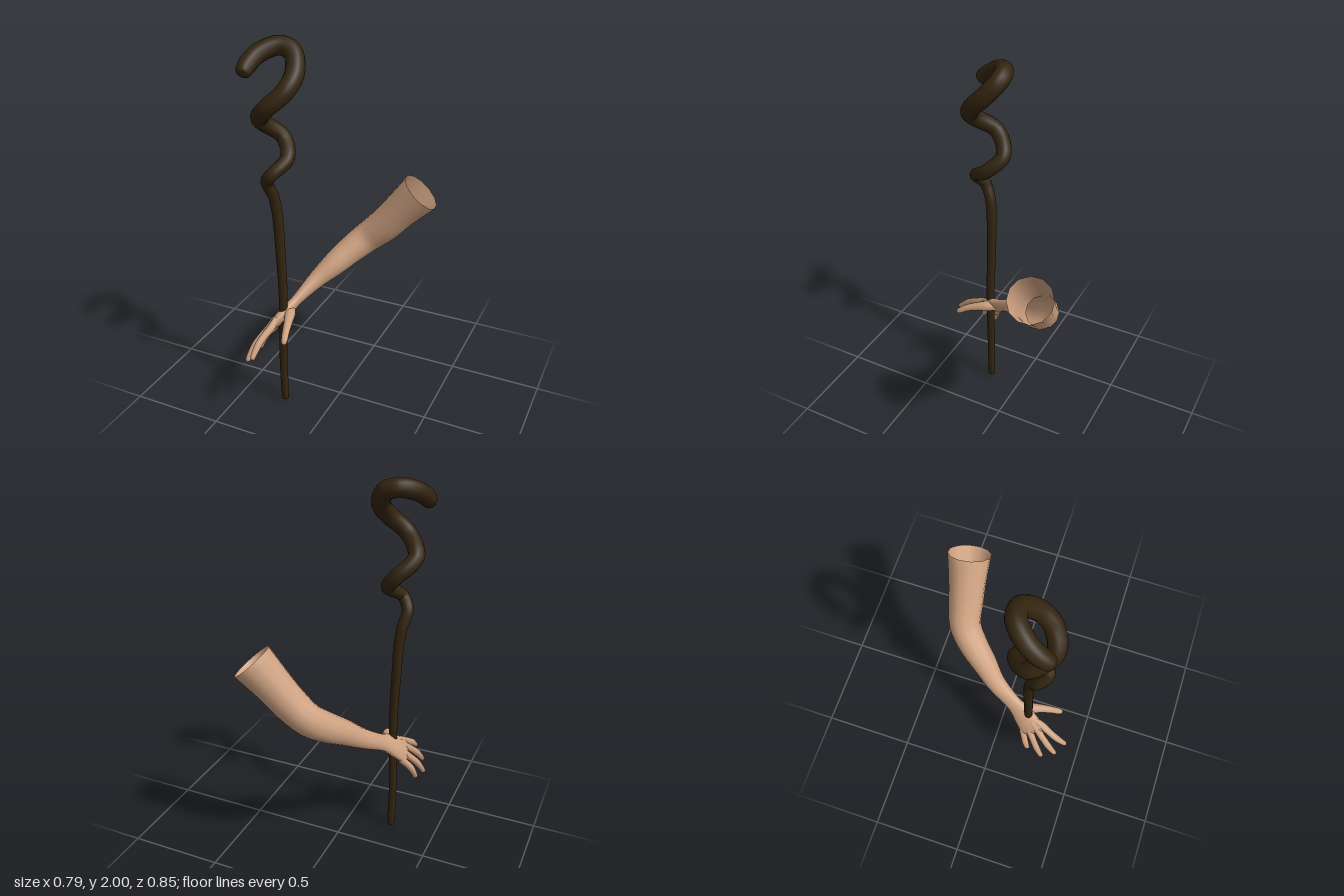
import * as THREE from 'three';

const wood = new THREE.MeshStandardMaterial({ color: 0x33240f, name: 'darkWood' });
const skin = new THREE.MeshStandardMaterial({ color: 0xcda180, name: 'skin', side: THREE.DoubleSide });

// Smooth loft through stations [x, y, z, width radius, thickness radius];
// ref is the direction of the width axis at the first station.
function loft(name, material, stations, ref, sides, steps) {
  const path = new THREE.CatmullRomCurve3(stations.map(s => new THREE.Vector3(s[0], s[1], s[2])));
  const radii = new THREE.CatmullRomCurve3(stations.map((s, i) => new THREE.Vector3(s[3], s[4] ?? s[3], i * 0.1)));
  const rings = (stations.length - 1) * steps;
  const pos = [], index = [];
  const u = new THREE.Vector3(...ref), v = new THREE.Vector3(), p = new THREE.Vector3();
  for (let i = 0; i <= rings; i++) {
    const t = i / rings;
    const c = path.getPoint(t), tan = path.getTangent(t), r = radii.getPoint(t);
    u.addScaledVector(tan, -u.dot(tan)).normalize();
    v.crossVectors(tan, u);
    for (let j = 0; j < sides; j++) {
      const a = (j / sides) * Math.PI * 2;
      p.copy(c)
        .addScaledVector(u, Math.cos(a) * Math.max(r.x, 0))
        .addScaledVector(v, Math.sin(a) * Math.max(r.y, 0));
      pos.push(p.x, p.y, p.z);
      if (i < rings) {
        const k = (j + 1) % sides, n = i * sides;
        index.push(n + j, n + k, n + sides + j, n + k, n + sides + k, n + sides + j);
      }
    }
  }
  const g = new THREE.BufferGeometry();
  g.setAttribute('position', new THREE.Float32BufferAttribute(pos, 3));
  g.setIndex(index);
  g.computeVertexNormals();
  const mesh = new THREE.Mesh(g, material);
  mesh.name = name;
  return mesh;
}

export function createModel() {
  const model = new THREE.Group();
  model.name = 'armWithStaff';

  // Staff: straight shaft that winds into a thickening coil with a hooked end
  const shaft = [
    [-0.25, 0, 0.18, 0], [-0.25, 0.012, 0.18, 0.016], [-0.25, 0.04, 0.18, 0.02],
    [-0.252, 0.25, 0.182, 0.021], [-0.245, 0.5, 0.182, 0.022], [-0.242, 0.7, 0.178, 0.023],
    [-0.25, 0.95, 0.175, 0.025], [-0.258, 1.15, 0.178, 0.027],
  ];
  const coil = [
    [-0.268, 1.24, 0.19, 0.028], [-0.28, 1.32, 0.225, 0.03], [-0.24, 1.375, 0.258, 0.032],
    [-0.193, 1.44, 0.175, 0.036], [-0.25, 1.52, 0.105, 0.038], [-0.325, 1.61, 0.18, 0.041],
    [-0.245, 1.7, 0.275, 0.043], [-0.165, 1.78, 0.235, 0.045], [-0.148, 1.85, 0.165, 0.046],
    [-0.19, 1.93, 0.1, 0.046], [-0.255, 1.953, 0.105, 0.046], [-0.325, 1.925, 0.175, 0.045],
    [-0.348, 1.88, 0.245, 0.042], [-0.347, 1.855, 0.28, 0.032], [-0.346, 1.845, 0.292, 0],
  ];
  model.add(loft('staff', wood, [...shaft, ...coil], [1, 0, 0], 14, 6));

  // Palm, wrist, forearm, elbow and upper arm, open at the shoulder end
  const across = [-0.3, -0.5, -0.8];
  model.add(loft('armAndPalm', skin, [
    [-0.307, 0.472, 0.241, 0, 0], [-0.303, 0.48, 0.234, 0.066, 0.014],
    [-0.29, 0.5, 0.215, 0.074, 0.024], [-0.262, 0.537, 0.175, 0.07, 0.031],
    [-0.235, 0.575, 0.13, 0.057, 0.031], [-0.212, 0.607, 0.08, 0.047, 0.03],
    [-0.155, 0.68, -0.035, 0.054, 0.047], [-0.09, 0.748, -0.12, 0.068, 0.065],
    [-0.03, 0.808, -0.2, 0.078, 0.075], [0.04, 0.872, -0.265, 0.083, 0.083],
    [0.13, 0.957, -0.287, 0.09, 0.092], [0.21, 1.05, -0.302, 0.097, 0.097],
    [0.31, 1.162, -0.32, 0.112, 0.112],
  ], across, 12, 4));

  // Fingers: [knuckle, tip]
  const fingers = {
    indexFinger: [[-0.268, 0.525, 0.272], [-0.302, 0.41, 0.425]],
    middleFinger: [[-0.292, 0.505, 0.25], [-0.36, 0.355, 0.383]],
    ringFinger: [[-0.307, 0.48, 0.212], [-0.391, 0.322, 0.312]],
    littleFinger: [[-0.308, 0.46, 0.172], [-0.372, 0.338, 0.222]],
  };
  for (const [name, [k, tip]] of Object.entries(fingers)) {
    const at = (f, r, lift = 0) => [
      k[0] + (tip[0] - k[0]) * f - lift, k[1] + (tip[1] - k[1]) * f + lift, k[2] + (tip[2] - k[2]) * f, r];
    model.add(loft(name, skin, [
      at(-0.3, 0.016), at(0, 0.021), at(0.3, 0.019, 0.006), at(0.55, 0.019, 0.008),
      at(0.8, 0.016, 0.004), at(0.95, 0.012), at(1, 0),
    ], across, 8, 3));
  }

  // Thumb
  model.add(loft('thumb', skin, [
    [-0.23, 0.575, 0.125, 0.025], [-0.205, 0.572, 0.18, 0.03], [-0.186, 0.562, 0.235, 0.024],
    [-0.17, 0.543, 0.29, 0.02], [-0.158, 0.516, 0.333, 0.017], [-0.154, 0.505, 0.346, 0.011],
    [-0.153, 0.5, 0.351, 0],
  ], across, 8, 3));

  return model;
}
